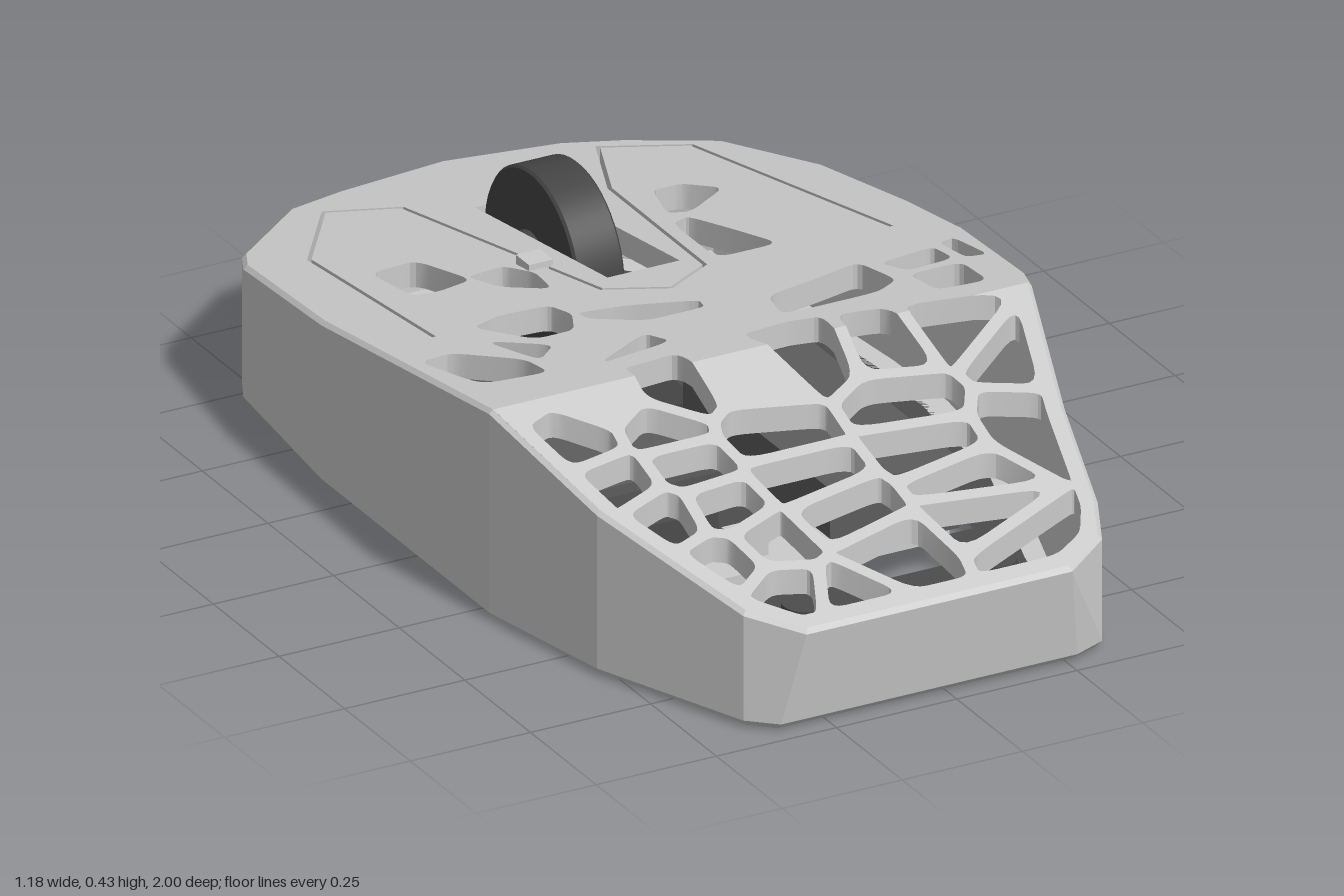
import * as THREE from 'three';
import { toCreasedNormals } from 'three/addons/utils/BufferGeometryUtils.js';

const V = (x, z) => new THREE.Vector3(x, 0, z);
const pairs = (...n) => Array.from({ length: n.length / 2 }, (_, i) => V(n[2 * i], n[2 * i + 1]));
const grey = new THREE.MeshStandardMaterial({ color: 0xcccccc, side: THREE.DoubleSide });
const paint = (color) => new THREE.MeshStandardMaterial({ color });
const dark = paint(0x4c4c4c), rubber = paint(0x444444), cellGrey = paint(0x5c5c5c);

const CREST = 0.3; // ridge line of the two-plane roof
const roof = (z) => (z < CREST ? 0.24 + (z + 1) * 0.185 / 1.3 : 0.425 - (z - CREST) * 0.215 / 0.7);
// Both end faces lean in towards a straight bottom edge (drop: 0 at the roof, 1 at the bottom)
const lean = (z, inset, drop) => z + drop * (THREE.MathUtils.clamp(z, inset - 0.95, 0.965 - inset) - z);

// Plan outline, clockwise from the back
const outline = pairs(0.02, -1, 0.24, -0.95, 0.34, -0.89, 0.48, -0.77, 0.56, -0.53, 0.585, -0.25, 0.59, -0.05,
  0.56, 0.23, 0.538, 0.3, 0.437, 0.61, 0.375, 0.85, 0.335, 0.94, 0.24, 1, -0.31, 1, -0.4, 0.92,
  -0.53, 0.6, -0.59, 0.3, -0.59, -0.34, -0.55, -0.71, -0.52, -0.77, -0.33, -0.94, -0.21, -0.97);

// Moves a polyline sideways by d with mitred corners
function offset(pts, d, closed = true) {
  const n = pts.length;
  const normal = (a, b) => V(a.z - b.z, b.x - a.x).normalize();
  return pts.map((p, i) => {
    const prev = closed || i > 0 ? normal(pts[(i + n - 1) % n], p) : null;
    const next = closed || i < n - 1 ? normal(p, pts[(i + 1) % n]) : null;
    const a = prev || next, b = next || prev;
    const m = a.clone().add(b).normalize();
    return p.clone().addScaledVector(m, d / Math.max(m.dot(a), 0.4));
  });
}

// Keeps the part of a polygon where dist >= 0
function clip(poly, dist) {
  const out = [];
  poly.forEach((a, i) => {
    const b = poly[(i + 1) % poly.length], da = dist(a), db = dist(b);
    if (da >= 0) out.push(a);
    if (da * db < 0) out.push(a.clone().lerp(b, da / (da - db)));
  });
  return out;
}

// Closed path with softened corners
function roundedPath(pts, t = 0.24) {
  const path = new THREE.Path();
  pts.forEach((p, i) => {
    const a = p.clone().lerp(pts[(i + pts.length - 1) % pts.length], t);
    const b = p.clone().lerp(pts[(i + 1) % pts.length], t);
    if (i === 0) path.moveTo(a.x, -a.z); else path.lineTo(a.x, -a.z);
    path.quadraticCurveTo(p.x, -p.z, b.x, -b.z);
  });
  path.closePath();
  return path;
}
const plainPath = (pts) => new THREE.Path(pts.map((p) => new THREE.Vector2(p.x, -p.z)));
const rect = (x0, x1, z0, z1) => pairs(x0, z0, x1, z0, x1, z1, x0, z1);

function slab(pts, holes, depth) {
  const shape = new THREE.Shape(pts.map((p) => new THREE.Vector2(p.x, -p.z)));
  shape.holes = holes;
  return new THREE.ExtrudeGeometry(shape, { depth, bevelEnabled: false, curveSegments: 4 }).rotateX(-Math.PI / 2);
}

function fromTriangles(points, crease) {
  const g = new THREE.BufferGeometry().setFromPoints(points);
  g.computeVertexNormals();
  return toCreasedNormals(g, crease);
}

// Cuts the flat panel along the crest, then lifts it onto the roof planes
function drapeOnRoof(geometry, thickness) {
  const g = geometry.index ? geometry.toNonIndexed() : geometry;
  const pos = g.attributes.position, out = [];
  for (let i = 0; i < pos.count; i += 3) {
    const tri = [0, 1, 2].map((k) => new THREE.Vector3().fromBufferAttribute(pos, i + k));
    for (const s of [1, -1]) {
      const part = clip(tri, (p) => s * (p.z - CREST));
      for (let k = 1; k + 1 < part.length; k++) out.push(part[0].clone(), part[k].clone(), part[k + 1].clone());
    }
  }
  out.forEach((p) => {
    const top = roof(p.z), depth = thickness - p.y;
    p.y = top - depth;
    p.z = lean(p.z, 0.008, depth / top);
  });
  return fromTriangles(out, 0.35);
}

// Side wall: rings of the outline joined from the bottom rim over the outside to the inside;
// the front face grows wider towards the bottom
function wallGeometry() {
  const ring = (inset, height) => offset(outline, inset).map((p, i) => {
    const top = roof(p.z), y = height(top), drop = 1 - y / top;
    const widen = outline[i].z === 1 ? 1 + 0.13 * drop : 1;
    return new THREE.Vector3(p.x * widen, y, lean(p.z, inset, drop));
  });
  const rings = [ring(0.085, () => 0), ring(0.015, () => 0), ring(0, () => 0.015), ring(0, (t) => t - 0.008),
    ring(0.008, (t) => t), ring(0.035, (t) => t - 0.05), ring(0.035, () => 0.03), ring(0.085, () => 0.03), ring(0.085, () => 0)];
  const out = [], n = outline.length;
  for (let r = 0; r + 1 < rings.length; r++) {
    for (let i = 0; i < n; i++) {
      const j = (i + 1) % n, a = rings[r], b = rings[r + 1];
      out.push(a[i], b[i], b[j], a[i], b[j], a[j]);
    }
  }
  return fromTriangles(out, 0.12);
}

// Web of cells on the front slope, one hole around each seed
function webCells() {
  const area = pairs(-0.27, 0.25, 0.08, 0.21, 0.49, 0.32, 0.395, 0.62, 0.335, 0.86, 0.3, 0.92, 0.23, 0.96,
    -0.3, 0.96, -0.36, 0.9, -0.49, 0.6, -0.54, 0.36);
  const seeds = pairs(-0.23, 0.35, 0.06, 0.33, 0.2, 0.36, 0.34, 0.36, 0.41, 0.46, -0.47, 0.42, -0.31, 0.44,
    -0.31, 0.54, -0.12, 0.51, 0.17, 0.52, -0.45, 0.54, -0.41, 0.65, -0.3, 0.66, -0.12, 0.63, 0.16, 0.62,
    0.35, 0.63, -0.36, 0.79, -0.26, 0.77, -0.1, 0.74, 0.18, 0.73, -0.29, 0.89, -0.07, 0.86, 0.17, 0.81,
    0.21, 0.91, -0.18, 0.94);
  const solid = pairs(-0.09, 0.36, -0.38, 0.33);
  return seeds.map((s) => [...seeds, ...solid].reduce((cell, o) => {
    if (o === s) return cell;
    const dir = o.clone().sub(s), half = dir.length() / 2 - 0.012;
    dir.normalize();
    return clip(cell, (p) => half - p.clone().sub(s).dot(dir));
  }, area)).filter((c) => c.length > 2);
}

// Scattered openings behind the crest
const backHoles = [
  pairs(-0.39, -0.52, -0.29, -0.53, -0.26, -0.37, -0.34, -0.35, -0.39, -0.36),
  pairs(-0.26, -0.39, -0.18, -0.4, -0.15, -0.33, -0.17, -0.23, -0.24, -0.3),
  pairs(0.24, -0.6, 0.3, -0.6, 0.35, -0.53, 0.24, -0.45, 0.2, -0.47),
  pairs(0.18, -0.41, 0.22, -0.43, 0.25, -0.32, 0.28, -0.19, 0.15, -0.19),
];
const middleHoles = [
  pairs(-0.39, -0.13, -0.32, -0.16, -0.22, -0.15, -0.21, -0.08, -0.25, 0, -0.33, 0),
  pairs(-0.41, -0.05, -0.32, 0.05, -0.38, 0.11),
  pairs(-0.56, -0.02, -0.49, -0.03, -0.4, 0.09, -0.4, 0.18, -0.53, 0.16),
  pairs(-0.2, -0.08, -0.11, -0.06, 0.01, 0, 0, 0.04, -0.12, 0.04, -0.2, -0.04),
  pairs(-0.31, 0.2, -0.16, 0.1, -0.14, 0.17),
  pairs(0.12, 0.06, 0.24, 0.03, 0.34, 0, 0.35, 0.13, 0.29, 0.17, 0.09, 0.17),
  pairs(0.37, 0.03, 0.49, 0.01, 0.49, 0.09, 0.39, 0.1),
  pairs(0.51, 0, 0.545, -0.01, 0.55, 0.11, 0.51, 0.1),
  pairs(0.38, 0.12, 0.49, 0.12, 0.48, 0.24, 0.38, 0.23),
];

export function createModel() {
  const model = new THREE.Group();
  const add = (name, geometry, material = grey, x = 0, y = 0, z = 0) => {
    const mesh = new THREE.Mesh(geometry, material);
    mesh.name = name;
    mesh.position.set(x, y, z);
    model.add(mesh);
    return mesh;
  };
  const box = (name, x0, x1, y0, y1, z0, z1, material) =>
    add(name, new THREE.BoxGeometry(x1 - x0, y1 - y0, z1 - z0), material, (x0 + x1) / 2, (y0 + y1) / 2, (z0 + z1) / 2);

  add('sideWall', wallGeometry());

  // Roof panel with the thin slot that frames both buttons
  const slot = pairs(-0.47, -0.13, -0.44, -0.66, -0.29, -0.88, -0.165, -0.81, -0.1, -0.17, 0.005, -0.095,
    0.115, -0.17, 0.185, -0.66, 0.28, -0.88, 0.42, -0.78, 0.487, -0.14);
  const ribbon = [...offset(slot, 0.004, false), ...offset(slot, -0.004, false).reverse()];
  const holes = [...[...backHoles, ...middleHoles, ...webCells()].map((c) => roundedPath(c)),
    plainPath(rect(-0.06, 0.09, -0.725, -0.22)), plainPath(ribbon)];
  add('roofPanel', drapeOnRoof(slab(offset(outline, 0.008), holes, 0.05), 0.05));

  // Base plate with stepped battery opening, sensor window and switch slot
  const base = clip(offset(outline, 0.075).map((p) => V(p.x, lean(p.z, 0.075, 1))), (p) => 0.85 - p.z);
  const opening = pairs(0.05, -0.16, 0.34, -0.16, 0.34, 0.44, 0.29, 0.44, 0.29, 0.55, 0.05, 0.55);
  add('basePlate', slab(base, [plainPath(opening), roundedPath(rect(-0.23, -0.13, -0.08, 0.08), 0.35),
    plainPath(rect(-0.2, -0.1, 0.18, 0.22))], 0.024), dark, 0, 0.006, 0);
  for (const [x, z, w, d] of [[0.24, -0.65, 0.15, 0.09], [-0.28, -0.65, 0.15, 0.09], [0, 0.74, 0.15, 0.05]]) {
    add('glidePad', new THREE.CylinderGeometry(1, 1, 0.006, 32), dark, x, 0.004, z).scale.set(w, 1, d);
  }
  for (const x of [-0.2, 0.19]) {
    add('baseScrew', new THREE.CylinderGeometry(0.025, 0.025, 0.008, 20), cellGrey, x, 0.004, 0.79);
    add('screwPost', new THREE.CylinderGeometry(0.045, 0.045, 0.13, 24), dark, x, 0.09, 0.79);
    box('frontBlock', x - 0.05, x + 0.05, 0.03, 0.12, 0.83, 0.94);
  }

  // Scroll wheel on its axle
  const profile = [[0.06, -0.05], [0.175, -0.05], [0.18, -0.045], [0.18, 0.045], [0.175, 0.05], [0.06, 0.05], [0.06, -0.05]]
    .map(([r, h]) => new THREE.Vector2(r, h));
  add('scrollWheel', toCreasedNormals(new THREE.LatheGeometry(profile, 48).rotateZ(Math.PI / 2), 0.4), rubber, 0.005, 0.245, -0.54);
  add('wheelAxle', new THREE.CylinderGeometry(0.06, 0.06, 0.18, 24).rotateZ(Math.PI / 2), rubber, 0.01, 0.245, -0.54);
  box('wheelCradle', -0.09, 0.13, 0.03, 0.06, -0.72, -0.22, rubber);

  // Inner parts seen through the openings
  box('battery', 0.02, 0.29, 0.06, 0.2, -0.08, 0.48, cellGrey);
  box('batteryTray', 0.06, 0.28, 0.03, 0.06, -0.06, 0.46);
  box('sensorBoard', -0.26, 0, 0.08, 0.1, -0.42, 0.1, cellGrey);
  box('sensorLens', -0.25, -0.08, 0.03, 0.08, -0.1, 0.24, dark);
  box('rearBoard', -0.36, -0.01, 0.1, 0.13, 0.45, 0.59);
  box('boardClip', -0.2, -0.14, 0.13, 0.17, 0.47, 0.54);
  for (const x of [-0.28, 0.27]) {
    box('buttonSwitch', x - 0.05, x + 0.07, 0.03, 0.17, -0.56, -0.44);
    box('switchPlunger', x - 0.01, x + 0.03, 0.17, 0.2, -0.52, -0.48);
  }
  box('topKnob', -0.155, -0.105, 0.28, 0.345, -0.395, -0.345);
  return model;
}
